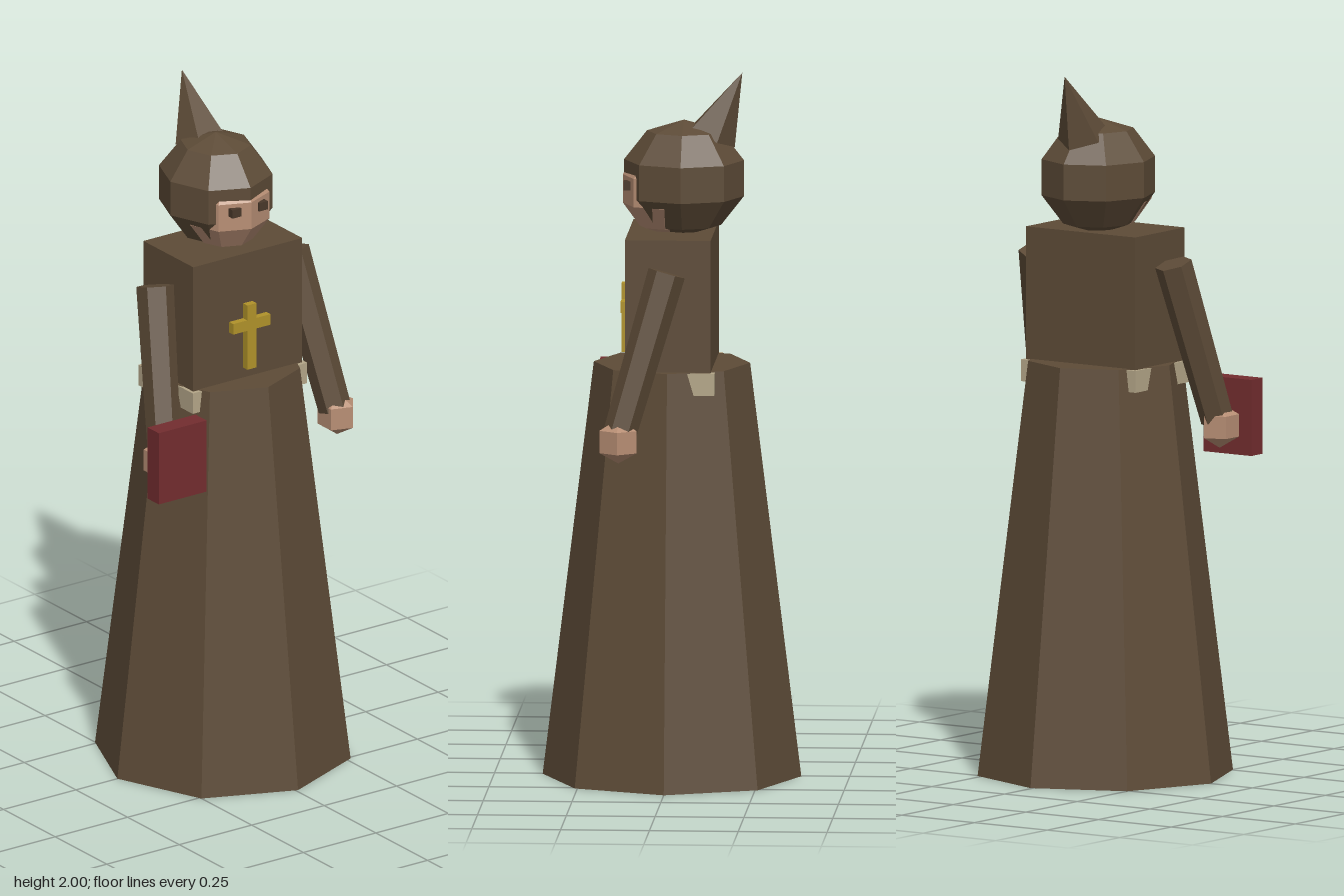
import * as THREE from 'three';

const mat = (name, color) => {
  const m = new THREE.MeshStandardMaterial({ color, flatShading: true });
  m.name = name;
  return m;
};

export function createModel() {
  const robe = mat('robe brown', 0x5d4b37);
  const skin = mat('skin', 0xb78e74);
  const gold = mat('gold', 0xb0922a);
  const red = mat('book red', 0x732d2f);
  const rope = mat('rope beige', 0xb4a688);
  const dark = mat('eye brown', 0x49382a);

  const model = new THREE.Group();
  model.name = 'robedFigure';
  const body = new THREE.Group();
  body.name = 'body';
  body.position.x = 0.007; // the book reaches further out than the free hand
  model.add(body);

  const add = (name, geometry, material, x, y, z) => {
    const mesh = new THREE.Mesh(geometry, material);
    mesh.name = name;
    mesh.position.set(x, y, z);
    body.add(mesh);
    return mesh;
  };
  const box = (name, material, w, h, d, x, y, z) =>
    add(name, new THREE.BoxGeometry(w, h, d), material, x, y, z);

  // Robe and belt
  add('skirt', new THREE.CylinderGeometry(0.22, 0.364, 1.175, 8), robe, 0, 0.5875, 0);
  box('torso', robe, 0.376, 0.38, 0.241, 0, 1.36, 0);
  box('belt', rope, 0.395, 0.062, 0.263, 0, 1.142, 0);

  // Hood with its pointed tip leaning back
  add('hood', new THREE.SphereGeometry(0.165, 8, 5), robe, 0, 1.7, -0.034).scale.z = 1.075;
  const tip = add('hoodTip', new THREE.ConeGeometry(0.073, 0.2, 5).rotateY(Math.PI), robe, 0, 1.91, -0.1545);
  tip.rotation.x = -0.45;

  // Face and eyes
  add('face', new THREE.SphereGeometry(0.13, 8, 5), skin, 0, 1.668, 0.015);
  for (const s of [-1, 1]) {
    box(s > 0 ? 'leftEye' : 'rightEye', dark, 0.03, 0.025, 0.02, s * 0.046, 1.684, 0.123);
  }

  // Chest cross
  box('crossUpright', gold, 0.032, 0.195, 0.022, 0, 1.3025, 0.13);
  box('crossBar', gold, 0.128, 0.032, 0.0215, 0, 1.339, 0.13);

  // Arms and hands
  for (const s of [-1, 1]) {
    const side = s > 0 ? 'left' : 'right';
    const shoulder = new THREE.Vector3(s * 0.234, 1.465, 0);
    const wrist = new THREE.Vector3(s * 0.294, 1.01, 0.13);
    const axis = shoulder.clone().sub(wrist);
    const mid = shoulder.clone().add(wrist).multiplyScalar(0.5);
    const arm = add(side + 'Arm', new THREE.CylinderGeometry(0.053, 0.047, axis.length(), 6), robe, mid.x, mid.y, mid.z);
    arm.quaternion.setFromUnitVectors(new THREE.Vector3(0, 1, 0), axis.normalize());
    add(side + 'Hand', new THREE.SphereGeometry(0.0635, 5, 3).rotateY(Math.PI), skin, s * 0.3, 0.996, 0.132);
  }

  // Book held in the right hand
  box('book', red, 0.165, 0.216, 0.054, -0.299, 1.019, 0.198);

  return model;
}
